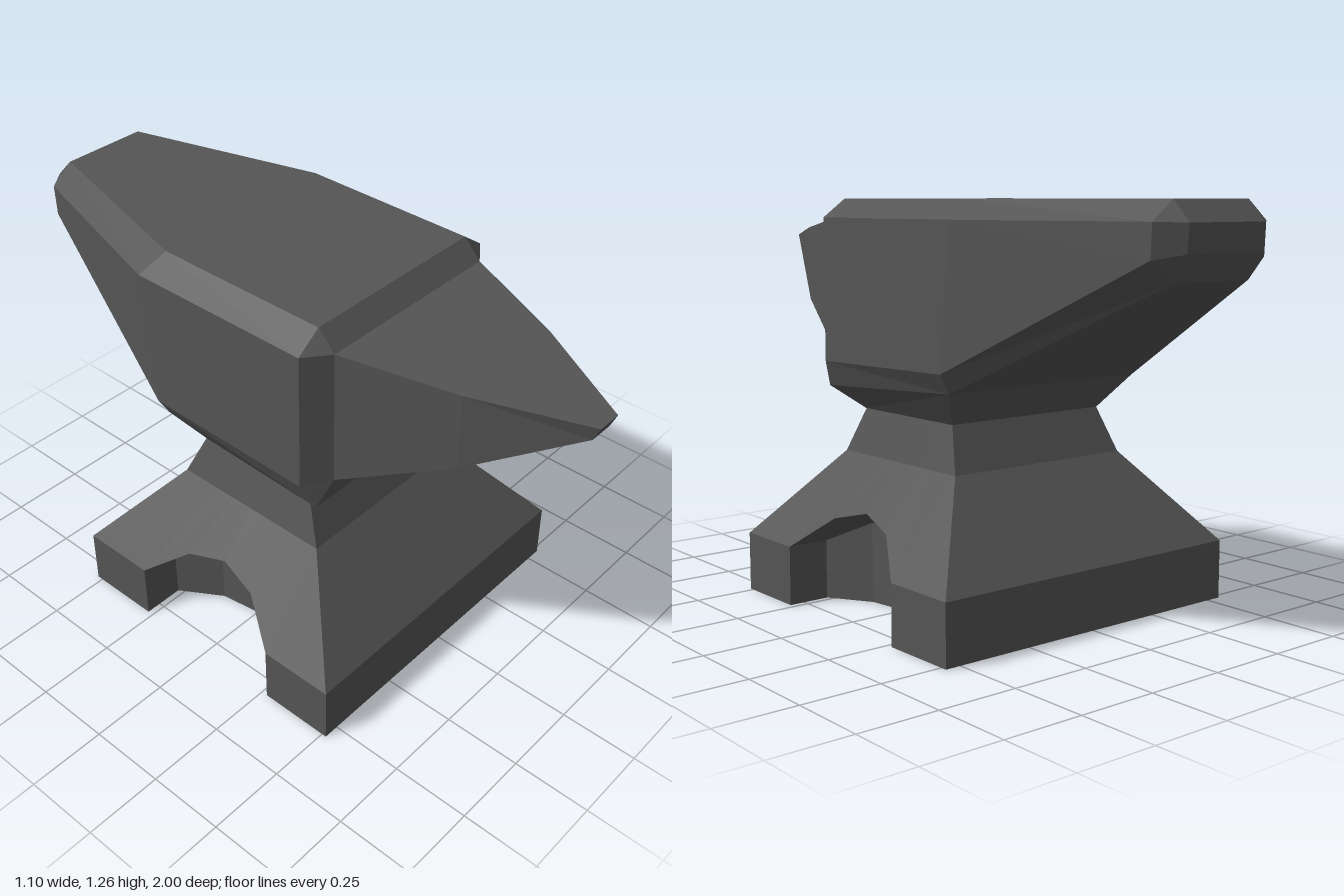
import * as THREE from 'three';

// Joins closed rings of points (counter-clockwise seen from the last ring) into flat faces.
function loft(rings, caps) {
  const out = [];
  const tri = (a, b, c) => {
    const ab = b.clone().sub(a), ac = c.clone().sub(a);
    if (ab.cross(ac).length() > 1e-6) out.push(...a.toArray(), ...b.toArray(), ...c.toArray());
  };
  for (let r = 0; r + 1 < rings.length; r++) {
    const a = rings[r], b = rings[r + 1], n = a.length;
    for (let i = 0; i < n; i++) {
      const j = (i + 1) % n;
      tri(a[i], a[j], b[j]);
      tri(a[i], b[j], b[i]);
    }
  }
  // Caps are strips across the mirror plane, so notched outlines work too.
  const cap = (p, flip) => {
    const n = p.length;
    for (let i = 0; i < n / 2 - 1; i++) {
      const q = [p[i], p[i + 1], p[n - 2 - i], p[n - 1 - i]];
      if (flip) q.reverse();
      tri(q[0], q[1], q[2]);
      tri(q[0], q[2], q[3]);
    }
  };
  if (caps.start) cap(rings[0], true);
  if (caps.end) cap(rings[rings.length - 1], false);
  const g = new THREE.BufferGeometry();
  g.setAttribute('position', new THREE.Float32BufferAttribute(out, 3));
  g.computeVertexNormals();
  return g;
}

// Completes a right-hand half outline with its mirror image.
function mirrorRing(half) {
  const right = half.map(([x, y, z]) => new THREE.Vector3(x, y, z));
  const left = right.map((p) => new THREE.Vector3(-p.x, p.y, p.z)).reverse();
  return [...right, ...left];
}

export function createModel() {
  const model = new THREE.Group();
  model.name = 'anvil';
  const iron = new THREE.MeshStandardMaterial({ color: 0x555555, flatShading: true });
  iron.name = 'dark iron';
  const add = (name, geometry) => {
    const mesh = new THREE.Mesh(geometry, iron);
    mesh.name = name;
    model.add(mesh);
  };

  // Foot and waist, with an arched notch in each side
  const zs = [0.515, 0.27, 0.27, 0.135, 0, -0.135, -0.27, -0.27, -0.52];
  const sym = (a) => [...a, ...a.slice(0, 4).reverse()];
  const wallX = sym([0.55, 0.55, 0.415, 0.33, 0.31]);
  const wallY = sym([0.187, 0.187, 0.187, 0.255, 0.28]);
  const lipX = sym([0.55, 0.55, 0.55, 0.47, 0.445]);
  const lipY = sym([0.187, 0.187, 0.187, 0.29, 0.324]);
  const level = (x, y, depth) => mirrorRing(zs.map((z) => [x, y, (z / 0.52) * depth]));
  const foot = [
    mirrorRing(zs.map((z, i) => [wallX[i], 0, z])),
    mirrorRing(zs.map((z, i) => [wallX[i], wallY[i], z])),
    mirrorRing(zs.map((z, i) => [lipX[i], lipY[i], z])),
    level(0.327, 0.467, 0.28),
    level(0.29, 0.605, 0.22),
  ];
  add('foot', loft(foot, { start: true }));

  // Flared neck under the head
  add('neck', loft([
    mirrorRing([[0.29, 0.605, 0.22], [0.29, 0.605, -0.22]]),
    mirrorRing([[0.365, 0.675, 0.31], [0.365, 0.71, -0.3]]),
  ], {}));

  // Bevelled head, tapering to the heel at the back
  add('head', loft([
    [[0.32, 1.2, 0.338], [0.32, 1.2, 0.338], [0.32, 0.765, 0.338], [0.32, 0.765, 0.338]],
    [[0.32, 1.26, 0.28], [0.4, 1.202, 0.28], [0.4, 0.757, 0.28], [0.365, 0.675, 0.31]],
    [[0.32, 1.26, -0.31], [0.4, 1.202, -0.345], [0.4, 0.77, -0.305], [0.365, 0.71, -0.3]],
    [[0.145, 1.26, -0.942], [0.22, 1.202, -0.942], [0.22, 1.105, -0.938], [0.145, 1.045, -0.948]],
    [[0.145, 1.2, -1], [0.145, 1.2, -1], [0.145, 1.12, -0.992], [0.145, 1.12, -0.992]],
  ].map(mirrorRing), { start: true, end: true }));

  // Tapered horn at the front
  add('horn', loft([
    [[0.32, 0.765, 0.338], [0.32, 1.2, 0.338]],
    [[0.2, 0.92, 0.675], [0.2, 1.163, 0.675]],
    [[0.04, 1.085, 0.98], [0.04, 1.13, 1]],
  ].map(mirrorRing), { end: true }));

  return model;
}
